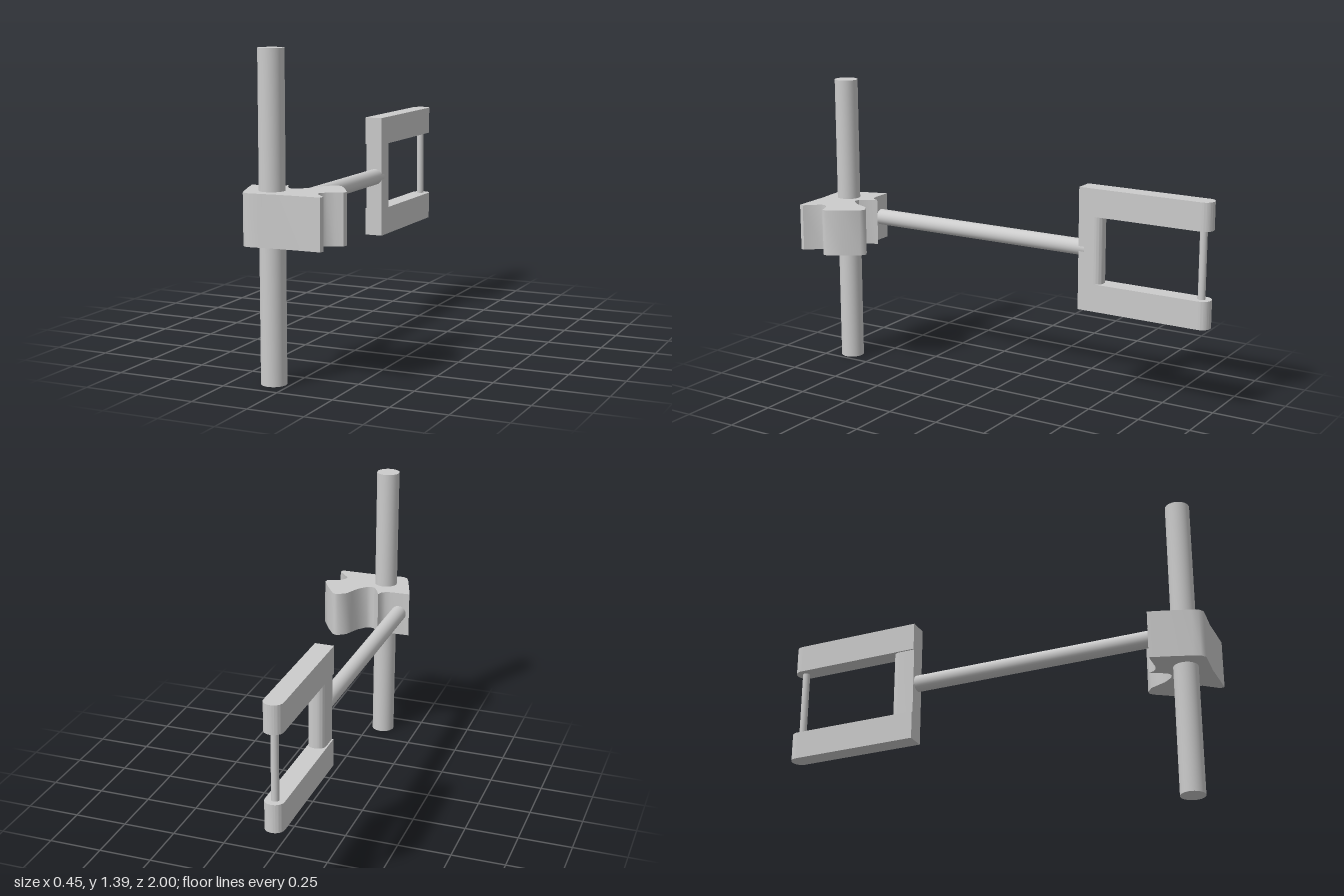
import * as THREE from 'three';
import { toCreasedNormals } from 'three/addons/utils/BufferGeometryUtils.js';

const material = new THREE.MeshStandardMaterial({ color: 0xcccccc });

function add(group, name, geometry, x = 0, y = 0, z = 0) {
  const mesh = new THREE.Mesh(geometry, material);
  mesh.name = name;
  mesh.position.set(x, y, z);
  group.add(mesh);
  return mesh;
}

// Upright prism from a plan outline; the shape's y is -z
function prism(shape, height) {
  const geometry = new THREE.ExtrudeGeometry(shape, { depth: height, bevelEnabled: false, curveSegments: 16 });
  geometry.rotateX(-Math.PI / 2);
  return toCreasedNormals(geometry, 0.75);
}

// Plan outline with a square front end and a rounded back end
function roundedBack(xMin, xMax, zFront, zBack, r) {
  const s = new THREE.Shape();
  s.moveTo(xMin, -zFront);
  s.lineTo(xMax, -zFront);
  s.lineTo(xMax, -zBack - r);
  s.absarc(xMax - r, -zBack - r, r, 0, Math.PI / 2, false);
  s.lineTo(xMin + r, -zBack);
  s.absarc(xMin + r, -zBack - r, r, Math.PI / 2, Math.PI, false);
  s.closePath();
  return s;
}

export function createModel() {
  const group = new THREE.Group();

  // Vertical pole through the clamp
  add(group, 'pole', new THREE.CylinderGeometry(0.055, 0.055, 1.39, 32), -0.073, 0.695, 0.885);

  // Clamp block: irregular outline [x, z] with a rear prong and a notch on the side
  const outline = [
    [-0.23, 0.77], [-0.205, 0.85], [-0.17, 0.95], [-0.157, 0.98], [-0.135, 0.995],
    [-0.07, 0.99], [0, 0.983], [0.19, 0.98], [0.195, 0.96], [0.137, 0.895], [0.135, 0.875],
    [0.155, 0.848], [0.185, 0.834], [0.218, 0.824], [0.223, 0.80], [0.185, 0.735],
    [0.138, 0.665], [0.122, 0.653], [0.105, 0.653], [0.068, 0.68], [0.053, 0.715],
    [0.035, 0.755], [0, 0.797], [-0.018, 0.803], [-0.038, 0.80], [-0.063, 0.765],
    [-0.083, 0.722], [-0.092, 0.745], [-0.108, 0.76], [-0.135, 0.767],
  ];
  const clampShape = new THREE.Shape(outline.map(([x, z]) => new THREE.Vector2(x, -z)));
  add(group, 'clamp', prism(clampShape, 0.22), 0, 0.59, 0);

  // Long horizontal arm from the clamp to the frame
  const arm = new THREE.CylinderGeometry(0.038, 0.038, 1.21, 32);
  arm.rotateX(Math.PI / 2);
  add(group, 'arm', arm, -0.176, 0.703, 0.215);

  // Open frame at the far end
  const frame = new THREE.Group();
  frame.name = 'frame';
  group.add(frame);
  const barShape = roundedBack(-0.227, -0.14, -0.36, -1, 0.042);
  add(frame, 'lowerBar', prism(barShape, 0.13), 0, 0.415, 0);
  add(frame, 'upperBar', prism(barShape, 0.13), 0, 0.86, 0);
  add(frame, 'crossPost', prism(roundedBack(-0.22, -0.14, -0.36, -0.472, 0.035), 0.315), 0, 0.545, 0);
  add(frame, 'thinRod', new THREE.CylinderGeometry(0.017, 0.017, 0.34, 20), -0.184, 0.7025, -0.954);

  return group;
}
